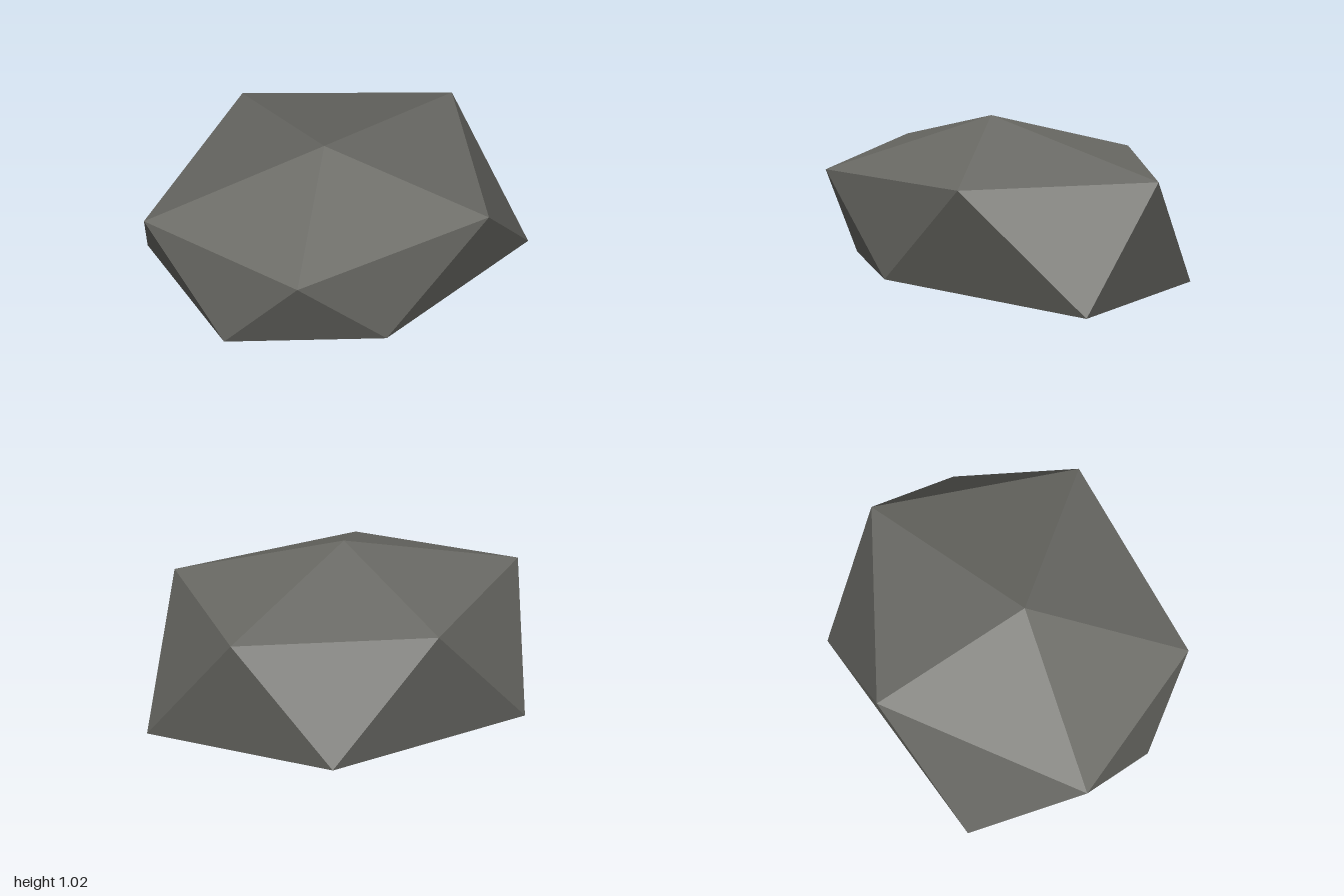
import * as THREE from 'three';

// Low-poly boulder: a top point, two staggered five-point rings and a bottom point
export function createModel() {
  const group = new THREE.Group();
  group.name = 'boulder';

  const stone = new THREE.MeshStandardMaterial({ color: 0x6a6a65 });
  stone.name = 'dark stone grey';
  stone.flatShading = true;

  const top = [-0.1, 1.02, 0.03];
  const bottom = [-0.1, 0, 0.03];
  const upper = [[1, 0.745, 0.03], [0.25, 0.76, 0.93], [-0.89, 0.71, 0.5], [-1, 0.75, -0.52], [0.24, 0.75, -0.85]];
  const lower = [[0.92, 0.06, 0.65], [-0.37, 0.17, 0.71], [-0.975, 0.17, 0.04], [-0.48, 0.07, -0.93], [0.84, 0.085, -0.55]];

  // Cap, zigzag side band and underside, one sector at a time
  const points = [];
  for (let i = 0; i < 5; i++) {
    const j = (i + 1) % 5;
    points.push(top, upper[j], upper[i]);
    points.push(upper[i], upper[j], lower[i]);
    points.push(lower[i], upper[j], lower[j]);
    points.push(bottom, lower[i], lower[j]);
  }
  const geometry = new THREE.BufferGeometry();
  geometry.setAttribute('position', new THREE.Float32BufferAttribute(points.flat(), 3));
  geometry.computeVertexNormals();

  const rock = new THREE.Mesh(geometry, stone);
  rock.name = 'rock';
  group.add(rock);
  return group;
}
